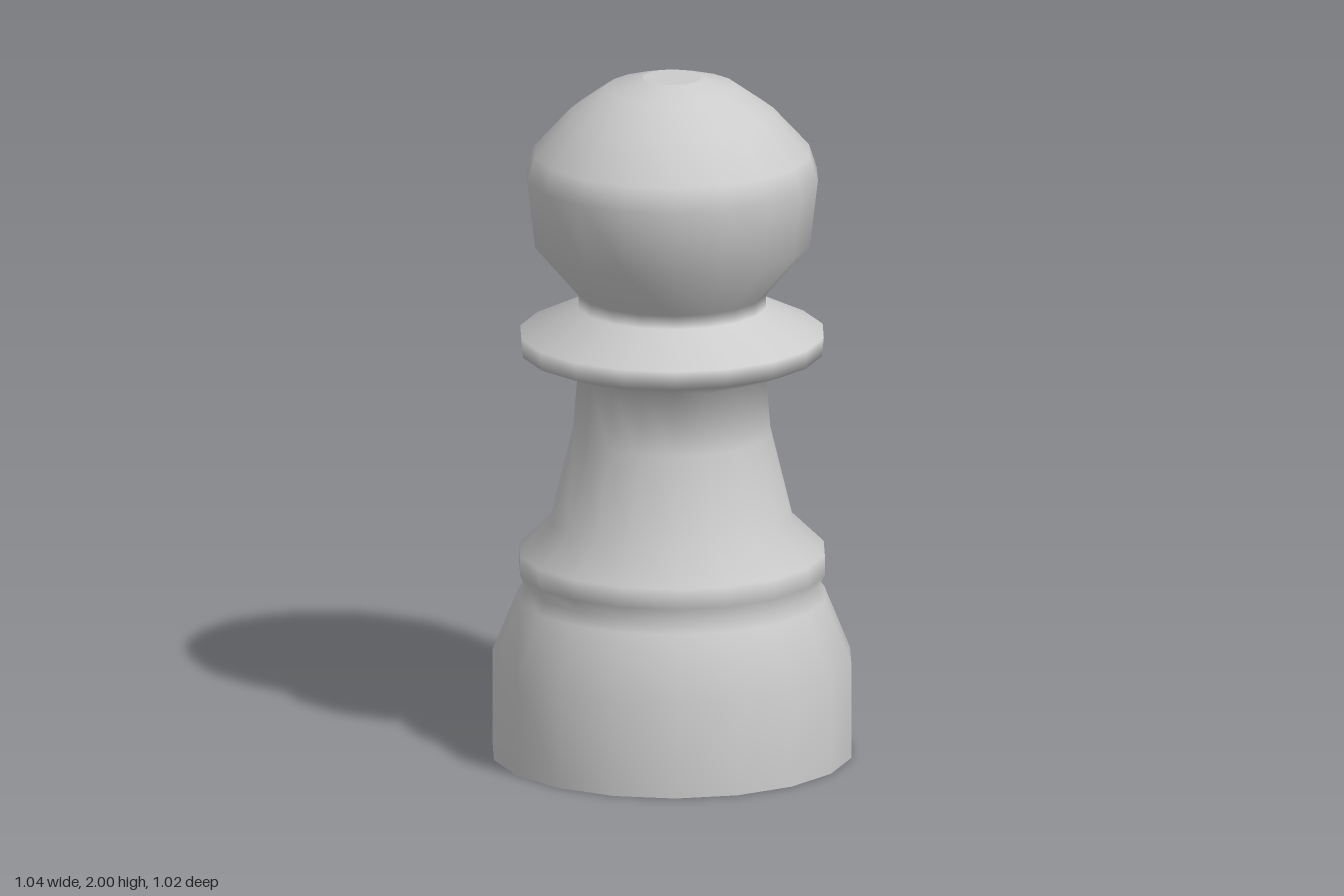
import * as THREE from 'three';

const SIDES = 18;

// Outline as [radius, height], from the foot to the crown
const PROFILE = [
  // base
  [0.52, 0], [0.52, 0.28], [0.445, 0.465], [0.42, 0.5],
  // lower ring
  [0.443, 0.54], [0.443, 0.6], [0.35, 0.69],
  // stem
  [0.287, 0.95], [0.272, 1.13],
  // collar
  [0.435, 1.19], [0.44, 1.245], [0.272, 1.325],
  // head
  [0.272, 1.365], [0.4, 1.515], [0.423, 1.71], [0.4, 1.78],
  [0.295, 1.895], [0.19, 1.97], [0.085, 2],
];

export function createModel() {
  const group = new THREE.Group();
  group.name = 'pawn';
  const material = new THREE.MeshStandardMaterial({ color: 0xcccccc });

  function add(name, geometry) {
    const mesh = new THREE.Mesh(geometry, material);
    mesh.name = name;
    group.add(mesh);
    return mesh;
  }

  // Turned body, with one corner of the polygon on the +x axis
  const points = PROFILE.map(([r, y]) => new THREE.Vector2(r, y));
  add('turnedBody', new THREE.LatheGeometry(points, SIDES, Math.PI / 2));

  // Flat discs closing the crown and the foot with sharp rims
  const [crownRadius, crownHeight] = PROFILE[PROFILE.length - 1];
  const crown = add('crownCap', new THREE.CircleGeometry(crownRadius, SIDES));
  crown.rotation.x = -Math.PI / 2;
  crown.position.y = crownHeight;

  const foot = add('footCap', new THREE.CircleGeometry(PROFILE[0][0], SIDES));
  foot.rotation.x = Math.PI / 2;

  return group;
}
